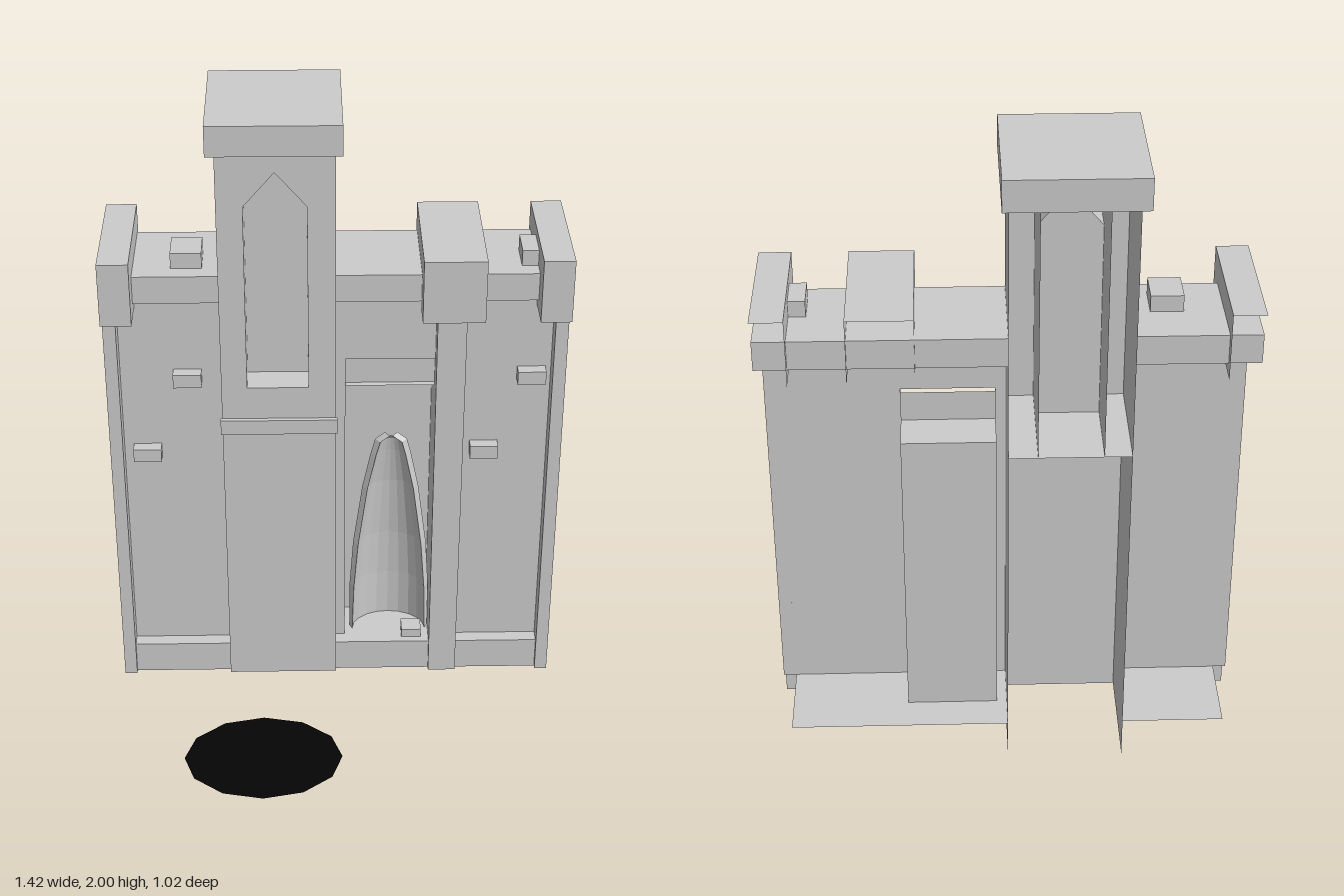
import * as THREE from 'three';

const grey = new THREE.MeshStandardMaterial({ color: 0xcccccc, flatShading: true, side: THREE.DoubleSide });
const black = new THREE.MeshStandardMaterial({ color: 0x050505, side: THREE.DoubleSide });

const FACES = 'lrtufb'; // left(+x), right(-x), top, under, front, back

// Box between two corners that keeps only the listed faces
function shell(parent, name, [x0, x1], [y0, y1], [z0, z1], faces = FACES) {
  const geo = new THREE.BoxGeometry(x1 - x0, y1 - y0, z1 - z0);
  const all = Array.from(geo.index.array);
  geo.setIndex([...faces].flatMap(f => all.slice(FACES.indexOf(f) * 6, FACES.indexOf(f) * 6 + 6)));
  geo.clearGroups();
  geo.translate((x0 + x1) / 2, (y0 + y1) / 2, (z0 + z1) / 2);
  return add(parent, name, geo);
}

function add(parent, name, geo, mat = grey) {
  const mesh = new THREE.Mesh(geo, mat);
  mesh.name = name;
  parent.add(mesh);
  return mesh;
}

// Surface through rows of points, each row of equal length
function loft(rows) {
  const n = rows[0].length, index = [];
  for (let r = 0; r < rows.length - 1; r++)
    for (let i = 0; i < n - 1; i++) {
      const a = r * n + i, b = a + n;
      index.push(a, a + 1, b, a + 1, b + 1, b);
    }
  const geo = new THREE.BufferGeometry();
  geo.setAttribute('position', new THREE.Float32BufferAttribute(rows.flat(2), 3));
  geo.setIndex(index);
  geo.computeVertexNormals();
  return geo;
}

function flat(points, z, hole) {
  const toV = p => new THREE.Vector2(p[0], p[1]);
  const shape = new THREE.Shape(points.map(toV));
  if (hole) shape.holes.push(new THREE.Path(hole.map(toV)));
  return new THREE.ShapeGeometry(shape).translate(0, 0, z);
}

function makeTower() {
  const g = new THREE.Group();
  g.name = 'tower';
  const X = [-0.355, 0], Z = [-0.475, -0.13];
  const niche = [[-0.275, 1.11], [-0.085, 1.11], [-0.085, 1.725], [-0.18, 1.835], [-0.275, 1.725]];
  add(g, 'towerFront', flat([[X[0], 0], [X[1], 0], [X[1], 1.905], [X[0], 1.905]], Z[1], niche));
  shell(g, 'towerSides', X, [0, 1.905], Z, 'lr');
  // Pointed niche with its floor, deep side plates and sloping head
  shell(g, 'nicheFloor', X, [1.11, 1.11], Z, 't');
  shell(g, 'nichePlates', [-0.275, -0.085], [1.11, 1.905], Z, 'lr');
  add(g, 'nicheBack', flat(niche, -0.23));
  const head = niche.slice(2);
  add(g, 'nicheHead', loft([-0.13, -0.23].map(z => head.map(([x, y]) => [x, y, z]))));
  shell(g, 'towerBand', [-0.36, 0.004], [0.95, 1.0], [-0.13, -0.115], 'lrtuf');
  shell(g, 'towerCap', [-0.38, 0.02], [1.905, 2], [-0.51, -0.085], 'lrtfb');
  return g;
}

function makeWalls() {
  const g = new THREE.Group();
  g.name = 'walls';
  const wall = (x, y) => shell(g, 'wall', x, y, [-0.19, -0.19], 'f');
  wall([-0.71, -0.355], [0.11, 1.4]);
  wall([0, 0.03], [0.11, 1.4]);
  wall([0.03, 0.31], [1.175, 1.4]);
  wall([0.31, 0.71], [0.11, 1.4]);

  // Plinth and parapet run along both stretches, open at the ends
  for (const x of [[-0.71, -0.355], [0, 0.71]])
    shell(g, 'parapet', x, [1.4, 1.49], [-0.45, -0.145], 'tufb');
  for (const x of [[-0.67, -0.355], [0, 0.67]])
    shell(g, 'plinth', x, [0, 0.11], [-0.45, -0.145], 'tf');

  // Piers with hollow blocks on top; the outer ones are halves
  const piers = [
    [[-0.71, -0.67], [-0.71, -0.615], 'l'],
    [[0.31, 0.4], [0.26, 0.45], 'lr'],
    [[0.67, 0.71], [0.615, 0.71], 'r'],
  ];
  for (const [x, blockX, sides] of piers) {
    shell(g, 'pier', x, [0, 1.39], [-0.19, -0.13], 'f' + sides);
    shell(g, 'pierBlock', blockX, [1.365, 1.57], [-0.485, -0.068], 'ft' + sides);
  }
  for (const x of [-0.5, 0.565])
    shell(g, 'merlon', [x, x + 0.095], [1.49, 1.54], [-0.31, -0.2], 'lrtfb');
  // Protruding stones
  for (const [x, y] of [[-0.505, 1.1], [-0.64, 0.83], [0.425, 0.83], [0.565, 1.1]])
    shell(g, 'stone', [x, x + 0.088], [y, y + 0.045], [-0.19, -0.15], 'lrtuf');
  return g;
}

function makeRecess() {
  const g = new THREE.Group();
  g.name = 'doorRecess';
  shell(g, 'recessBox', [0.03, 0.31], [0.11, 1.08], [-0.34, -0.19], 'lrtb');
  shell(g, 'lintel', [0.03, 0.31], [1.08, 1.175], [-0.21, -0.19], 'lrub').position.z = 0;

  // Tapering concave niche with a narrow rim
  const profile = [[0.11, 0.122], [0.28, 0.117], [0.45, 0.104], [0.67, 0.075], [0.8, 0.048], [0.85, 0.035], [0.875, 0.004]];
  const cx = 0.178, steps = 10;
  const rows = profile.map(([y, w]) => Array.from({ length: steps + 1 }, (_, i) => {
    const a = Math.PI * (1 - i / steps);
    return [cx + w * Math.cos(a), y, -0.22 - 0.8 * w * Math.sin(a)];
  }));
  add(g, 'hollowNiche', loft(rows));
  for (const s of [-1, 1])
    add(g, 'nicheRim', loft(profile.map(([y, w]) =>
      [[cx + s * w, y, -0.22], [cx + s * Math.min(w + 0.016, 0.131), y + 0.005, -0.235]])));
  shell(g, 'doorStep', [0.22, 0.285], [0.11, 0.14], [-0.23, -0.17], 'lrtfb');
  return g;
}

export function createModel() {
  const model = new THREE.Group();
  model.name = 'castleFacade';
  model.add(makeTower(), makeWalls(), makeRecess());

  // Dark pit lying on the ground in front
  const pit = new THREE.CircleGeometry(1, 12).rotateX(-Math.PI / 2).scale(0.252, 1, 0.196);
  add(model, 'groundPit', pit, black).position.set(-0.24, 0.001, 0.31);
  return model;
}
